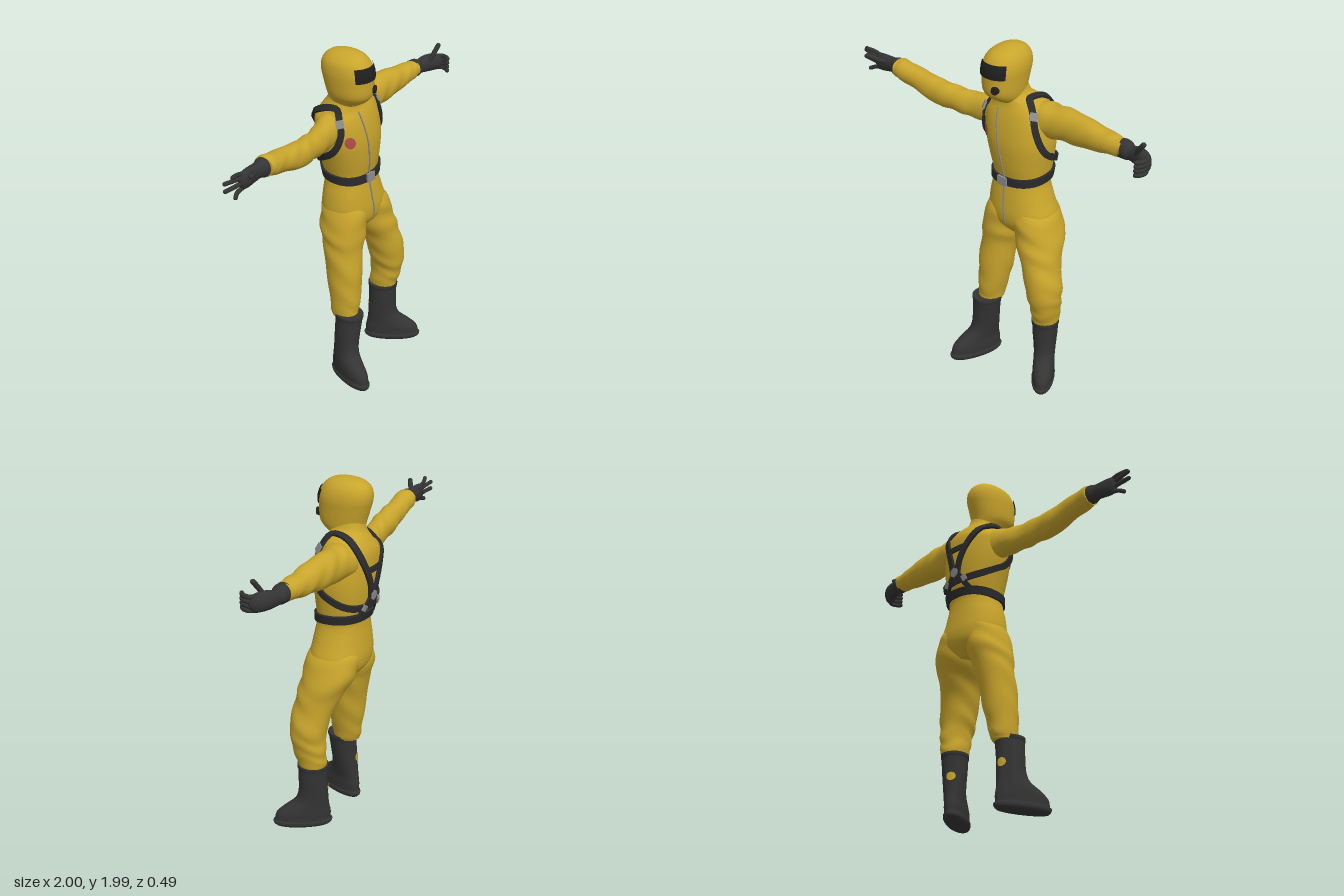
import * as THREE from 'three';
import { toCreasedNormals } from 'three/addons/utils/BufferGeometryUtils.js';

const V3 = (x, y, z) => new THREE.Vector3(x, y, z);
const mat = (name, color, extra = {}) => Object.assign(new THREE.MeshStandardMaterial({ color, ...extra }), { name });

// Joins closed rings of points into a capped skin
function skin(rings, crease = 0.9) {
  const n = rings[0].length, m = rings.length, pos = [], idx = [];
  rings.forEach(r => r.forEach(p => pos.push(p.x, p.y, p.z)));
  for (let i = 0; i < m - 1; i++) for (let j = 0; j < n; j++) {
    const k = (j + 1) % n, a = i * n + j, b = i * n + k;
    idx.push(a, b, a + n, b, b + n, a + n);
  }
  [0, m - 1].forEach((r, e) => {
    const c = rings[r].reduce((s, p) => s.add(p), V3(0, 0, 0)).divideScalar(n);
    pos.push(c.x, c.y, c.z);
    for (let j = 0; j < n; j++) {
      const a = r * n + j, b = r * n + (j + 1) % n;
      e ? idx.push(m * n + e, a, b) : idx.push(m * n + e, b, a);
    }
  });
  const g = new THREE.BufferGeometry();
  g.setAttribute('position', new THREE.Float32BufferAttribute(pos, 3));
  g.setIndex(idx);
  return toCreasedNormals(g, crease);
}

// Smooth interpolation through rows of [x, y, z, radiusU, radiusV, tilt]
function at(rows, t) {
  const i = Math.min(Math.floor(t), rows.length - 2), f = t - i;
  const R = k => rows[Math.max(0, Math.min(rows.length - 1, k))];
  return [0, 1, 2, 3, 4, 5].map(c => {
    const [a, b, d, e] = [R(i - 1), R(i), R(i + 1), R(i + 2)].map(r => r[c] || 0);
    return b + 0.5 * f * (d - a + f * (2 * a - 5 * b + 4 * d - e + f * (3 * (b - d) + e - a)));
  });
}
const AXES = { up: [V3(1, 0, 0), V3(0, 0, 1)], left: [V3(0, 0, 1), V3(0, 1, 0)], right: [V3(0, 1, 0), V3(0, 0, 1)] };
const pw = (v, e) => Math.sign(v) * Math.abs(v) ** (2 / e);
function ringPoint(row, ang, axis, e, k = 1) {
  const [x, y, z, ru, rv, tilt] = row, [U, V] = AXES[axis], su = pw(Math.sin(ang), e) * ru * k;
  const p = V3(x, y, z).addScaledVector(U, su).addScaledVector(V, pw(Math.cos(ang), e) * rv * k);
  p.y += tilt * su;
  return p;
}
// Lofted body part, with optional cloth folds
function loft(rows, { axis = 'up', e = 2.1, fold = 0, sides = 28, steps = 6 } = {}) {
  const rings = [], N = (rows.length - 1) * steps;
  for (let i = 0; i <= N; i++) {
    const t = i / steps, r = at(rows, t);
    rings.push(Array.from({ length: sides }, (_, j) => {
      const a = j / sides * Math.PI * 2;
      return ringPoint(r, a, axis, e, 1 + fold * Math.sin(t * 5.3 + 1.6 * Math.sin(a * 2 + t)) * Math.sin(a + t));
    }));
  }
  return skin(rings);
}
// Point and normal on an upright loft, at height y and angle a from the front
function surface(rows, e = 2.1) {
  const P = (y, a) => {
    let lo = 0, hi = rows.length - 1.001;
    for (let i = 0; i < 26; i++) { const m = (lo + hi) / 2; at(rows, m)[1] < y ? lo = m : hi = m; }
    return ringPoint(at(rows, lo), a, 'up', e);
  };
  return (y, a, off = 0) => {
    const n = P(y, a + 0.03).sub(P(y, a - 0.03)).cross(P(y + 0.006, a).sub(P(y - 0.006, a))).normalize();
    return { p: P(y, a).addScaledVector(n, off), n };
  };
}
// Flat strip following [height, angle] points on a surface
function band(surf, path, w, h, off) {
  const curve = new THREE.CatmullRomCurve3(path.map(([y, a]) => V3(a * 0.2, y, 0)), false, 'centripetal');
  const s = curve.getSpacedPoints(48).map(q => surf(q.y, q.x / 0.2, off));
  return skin(s.map(({ p, n }, i) => {
    const t = s[Math.min(i + 1, 48)].p.clone().sub(s[Math.max(i - 1, 0)].p).normalize();
    const u = t.cross(n).normalize();
    return [[-1, 1], [1, 1], [1, -1], [-1, -1]].map(([a, b]) =>
      p.clone().addScaledVector(u, a * w / 2).addScaledVector(n, b * h / 2));
  }), 0.7);
}
// Bends a flat geometry onto a surface
function wrap(surf, g, y, a, k, off) {
  const q = g.attributes.position;
  for (let i = 0; i < q.count; i++) {
    const { p } = surf(y + q.getY(i), a + q.getX(i) / k, off);
    q.setXYZ(i, p.x, p.y, p.z);
  }
  g.computeVertexNormals();
  return g;
}

export function createModel() {
  const root = new THREE.Group();
  root.name = 'hazardSuitFigure';
  const suit = mat('suitYellow', 0xc9a52c), rubber = mat('rubberBlack', 0x343434);
  const webbing = mat('webbingBlack', 0x2b2b2d), glass = mat('visorBlack', 0x1f1f20, { side: THREE.DoubleSide });
  const metal = mat('metalGrey', 0x8c8c8c), red = mat('patchRed', 0xb14f48, { side: THREE.DoubleSide });
  const add = (name, g, m, parent = root) => {
    const o = new THREE.Mesh(g, m);
    o.name = name;
    parent.add(o);
    return o;
  };
  const attach = (name, g, m, { p, n }) => {
    const o = add(name, g, m);
    o.position.copy(p);
    o.quaternion.setFromUnitVectors(V3(0, 0, 1), n);
    return o;
  };

  // Torso and hood
  const torso = [
    [0.165, 0.9, -0.08, 0.05, 0.08], [0.165, 0.96, -0.08, 0.17, 0.135], [0.165, 1.03, -0.08, 0.203, 0.15],
    [0.152, 1.12, -0.08, 0.185, 0.142], [0.147, 1.2, -0.082, 0.163, 0.132], [0.146, 1.25, -0.085, 0.16, 0.13],
    [0.14, 1.33, -0.088, 0.175, 0.145], [0.13, 1.45, -0.09, 0.198, 0.155], [0.12, 1.55, -0.095, 0.2, 0.148, 0.05],
    [0.11, 1.62, -0.1, 0.185, 0.135, 0.13], [0.1, 1.67, -0.095, 0.14, 0.11, 0.2],
    [0.085, 1.71, -0.08, 0.092, 0.092, 0.1], [0.075, 1.76, -0.07, 0.082, 0.088]];
  const head = [
    [0.075, 1.68, -0.065, 0.07, 0.085], [0.07, 1.71, -0.045, 0.088, 0.112], [0.063, 1.75, -0.034, 0.103, 0.13],
    [0.062, 1.82, -0.042, 0.11, 0.143], [0.063, 1.88, -0.05, 0.112, 0.15], [0.063, 1.93, -0.057, 0.1, 0.135],
    [0.065, 1.965, -0.06, 0.07, 0.1], [0.065, 1.98, -0.06, 0.035, 0.05], [0.065, 1.985, -0.06, 0.004, 0.005]];
  add('torso', loft(torso, { e: 2.3, sides: 40 }), suit);
  add('hood', loft(head, { e: 2.2, sides: 40 }), suit);
  const body = surface(torso, 2.3), face = surface(head, 2.2);

  // Visor and breathing valve
  add('visor', wrap(face, new THREE.PlaneGeometry(0.18, 0.075, 16, 6), 1.878, 0, 0.112, 0.006), glass);
  attach('valve', new THREE.CylinderGeometry(0.02, 0.024, 0.02, 16).rotateX(Math.PI / 2), glass, face(1.78, 0.36, 0.004));

  // Legs
  add('rightLeg', loft([
    [-0.015, 0.39, -0.008, 0.066, 0.076], [-0.008, 0.45, -0.015, 0.074, 0.085], [0.005, 0.6, -0.025, 0.092, 0.1],
    [0.024, 0.8, -0.05, 0.104, 0.113], [0.045, 0.92, -0.065, 0.115, 0.135], [0.065, 1.05, -0.075, 0.105, 0.13],
    [0.08, 1.12, -0.08, 0.07, 0.1]], { fold: 0.04 }), suit);
  add('leftLeg', loft([
    [0.383, 0.39, -0.02, 0.068, 0.076], [0.388, 0.45, -0.015, 0.076, 0.086], [0.393, 0.53, -0.003, 0.082, 0.095],
    [0.383, 0.63, 0.003, 0.1, 0.104], [0.343, 0.78, -0.02, 0.104, 0.118], [0.295, 0.9, -0.06, 0.131, 0.14],
    [0.255, 1.03, -0.08, 0.122, 0.148], [0.225, 1.12, -0.08, 0.07, 0.1]], { fold: 0.04 }), suit);

  // Arms
  add('rightArm', loft([
    [0.05, 1.55, -0.1, 0.09, 0.08], [-0.06, 1.55, -0.095, 0.088, 0.075], [-0.18, 1.545, -0.065, 0.073, 0.064],
    [-0.3, 1.555, -0.04, 0.071, 0.06], [-0.42, 1.565, -0.025, 0.073, 0.063], [-0.55, 1.59, -0.02, 0.064, 0.058],
    [-0.66, 1.615, -0.013, 0.058, 0.06], [-0.705, 1.62, -0.012, 0.054, 0.057]], { axis: 'right', fold: 0.05 }), suit);
  add('leftArm', loft([
    [0.12, 1.575, -0.11, 0.1, 0.085], [0.25, 1.59, -0.122, 0.098, 0.095], [0.36, 1.6, -0.125, 0.08, 0.094],
    [0.5, 1.605, -0.125, 0.072, 0.088], [0.65, 1.605, -0.118, 0.063, 0.067], [0.75, 1.61, -0.113, 0.055, 0.053],
    [0.795, 1.61, -0.112, 0.05, 0.05]], { axis: 'left', fold: 0.05 }), suit);

  // Gloves: cuff and palm, then fingers
  add('rightGlove', loft([
    [-0.69, 1.62, -0.012, 0.05, 0.048], [-0.72, 1.62, -0.012, 0.052, 0.047], [-0.75, 1.62, -0.012, 0.044, 0.036],
    [-0.79, 1.617, -0.012, 0.047, 0.032], [-0.84, 1.612, -0.012, 0.052, 0.026], [-0.875, 1.61, -0.012, 0.044, 0.02],
    [-0.89, 1.61, -0.012, 0.015, 0.01]], { axis: 'right' }), rubber);
  add('leftGlove', loft([
    [0.78, 1.61, -0.112, 0.048, 0.052], [0.82, 1.61, -0.11, 0.046, 0.051], [0.85, 1.605, -0.108, 0.036, 0.041],
    [0.9, 1.61, -0.095, 0.04, 0.05], [0.95, 1.61, -0.075, 0.042, 0.05], [0.98, 1.607, -0.06, 0.032, 0.042],
    [0.997, 1.605, -0.055, 0.008, 0.01]], { axis: 'left' }), rubber);
  const finger = (name, r, ...pts) => {
    const g = new THREE.Group();
    g.name = name;
    root.add(g);
    const c = new THREE.CatmullRomCurve3(pts.map(p => V3(...p)));
    add('fingerShaft', new THREE.TubeGeometry(c, 10, r, 10), rubber, g);
    add('fingerTip', new THREE.SphereGeometry(r, 10, 8), rubber, g).position.set(...pts[pts.length - 1]);
  };
  [[-0.955, 1.665, 0], [-0.986, 1.637, -0.024], [-0.988, 1.597, -0.022], [-0.935, 1.546, -0.004]].forEach((t, i) => {
    const y = 1.645 - i * 0.024;
    finger('rightFinger', 0.0115, [-0.85, y, -0.012], [-0.905, (y + t[1]) / 2, -0.016], t);
  });
  finger('rightThumb', 0.014, [-0.78, 1.63, 0], [-0.84, 1.645, 0.035], [-0.885, 1.662, 0.06]);
  for (let i = 0; i < 4; i++) {
    const y = 1.572 + i * 0.024;
    finger('leftFinger', 0.0125, [0.955, y, -0.07], [0.985, y, -0.04], [0.978, y, 0], [0.962, y, 0.016]);
  }
  finger('leftThumb', 0.014, [0.9, 1.63, -0.07], [0.925, 1.675, -0.055], [0.957, 1.715, -0.047]);

  // Boots
  const boot = lean => [
    [0, 0, 0.06, 0.055, 0.152], [0, 0.012, 0.06, 0.063, 0.163], [0, 0.03, 0.06, 0.065, 0.166],
    [0, 0.036, 0.06, 0.06, 0.157], [0, 0.08, 0.055, 0.061, 0.152], [0, 0.12, 0.037, 0.06, 0.127],
    [lean * 0.2, 0.165, 0.01, 0.06, 0.095], [lean * 0.4, 0.22, 0, 0.063, 0.083], [lean * 0.7, 0.31, 0, 0.07, 0.08],
    [lean, 0.385, 0, 0.074, 0.082], [lean, 0.392, 0, 0.078, 0.086], [lean, 0.412, 0, 0.078, 0.086]];
  [['rightBoot', -0.047, 0, 0.012, -0.35, 0.03, -2.6], ['leftBoot', 0.382, 0.03, -0.02, 0.6, 0, Math.PI]].forEach(
    ([name, x, y, z, yaw, lean, a]) => {
      const g = new THREE.Group(), rows = boot(lean);
      g.name = name;
      g.position.set(x, y, z);
      g.rotation.y = yaw;
      g.scale.y = (0.412 - y) / 0.412;
      root.add(g);
      add('bootShell', loft(rows, { steps: 4 }), rubber, g);
      add('bootPatch', wrap(surface(rows), new THREE.RingGeometry(0, 0.026, 16, 3), 0.255, a, 0.068, 0.003), suit, g);
    });

  // Harness straps, belt and zip
  [-1, 1].forEach(s => {
    const side = s > 0 ? 'left' : 'right', m = pts => pts.map(([y, a]) => [y, a * s]);
    add(side + 'ShoulderStrap', band(body, m([
      [1.35, 3.1], [1.46, 3.0], [1.57, 2.72], [1.65, 2.3], [1.685, 1.7], [1.675, 1.15], [1.6, 0.98], [1.5, 1.12],
      [1.42, 1.45], [1.36, 2.05], [1.335, 2.7], [1.335, 3.14]]), 0.036, 0.014, 0.012), webbing);
    attach(side + 'StrapBuckle', new THREE.BoxGeometry(0.044, 0.045, 0.012), metal, body(1.62, 1.0 * s, 0.019));
    add(side + 'BackStrap', band(body, m([[1.37, 3.05], [1.32, 2.85], [1.27, 2.6]]), 0.03, 0.012, 0.012), webbing);
    attach(side + 'BackBuckle', new THREE.BoxGeometry(0.035, 0.03, 0.012), metal, body(1.335, 2.8 * s, 0.02));
  });
  add('crossStrap', band(body, [[1.53, 2.8], [1.53, 3.48]], 0.03, 0.012, 0.012), webbing);
  attach('backPlate', new THREE.CylinderGeometry(0.03, 0.03, 0.012, 6).rotateX(Math.PI / 2), metal, body(1.385, Math.PI, 0.018));
  const belt = Array.from({ length: 17 }, (_, i) => {
    const a = i / 16 * Math.PI * 2;
    return [1.255 - 0.015 * Math.cos(a) + 0.012 * Math.sin(a), a];
  });
  add('belt', band(body, belt, 0.046, 0.016, 0.008), webbing);
  attach('beltBuckle', new THREE.BoxGeometry(0.065, 0.05, 0.014), metal, body(1.238, -0.08, 0.016));
  add('zip', band(body, [[1.65, -0.2], [1.45, -0.12], [1.27, -0.07], [1.1, -0.05], [0.98, -0.05]], 0.007, 0.006, 0.002), metal);
  add('chestPatch', wrap(body, new THREE.RingGeometry(0, 0.036, 24, 3), 1.49, -0.75, 0.19, 0.004), red);
  return root;
}
